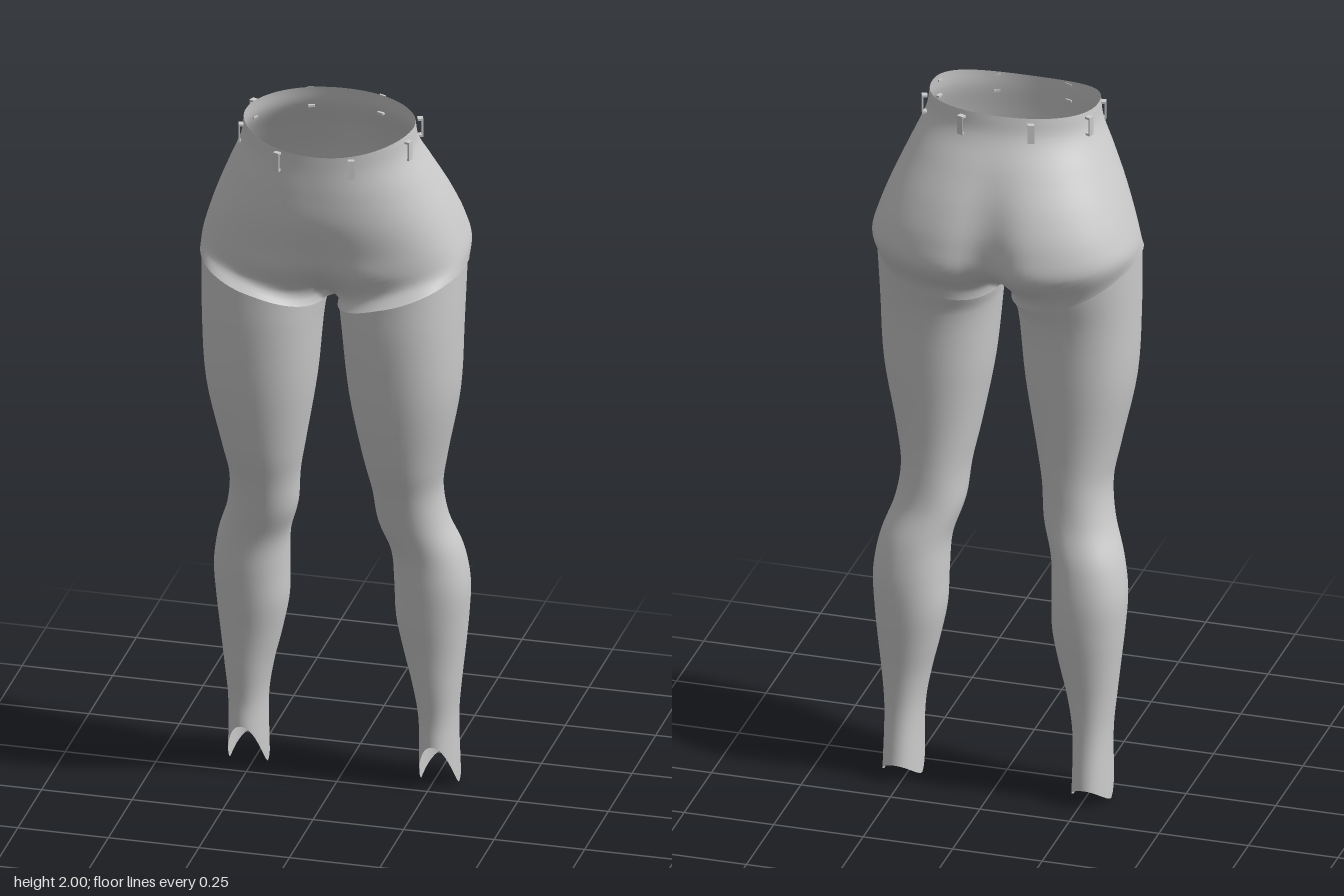
import * as THREE from 'three';

const material = new THREE.MeshStandardMaterial({ color: 0xcccccc, side: THREE.DoubleSide });
const pow = (v, e) => Math.sign(v) * Math.abs(v) ** e;

// Closed skin through rings of points listed from top to bottom, smoothed along each column
function loft(rings, steps) {
  const cols = rings[0].length, rows = (rings.length - 1) * steps + 1;
  const curves = rings[0].map((_, c) => new THREE.CatmullRomCurve3(rings.map(r => r[c]), false, 'centripetal'));
  const pos = [], index = [];
  for (let r = 0; r < rows; r++) {
    for (const curve of curves) pos.push(...curve.getPoint(r / (rows - 1)).toArray());
  }
  for (let r = 0; r < rows - 1; r++) {
    for (let c = 0; c < cols; c++) {
      const a = r * cols + c, b = r * cols + (c + 1) % cols;
      const d = a + cols, e = b + cols;
      index.push(d, e, b, d, b, a);
    }
  }
  const g = new THREE.BufferGeometry();
  g.setAttribute('position', new THREE.Float32BufferAttribute(pos, 3));
  g.setIndex(index);
  g.computeVertexNormals();
  return g;
}

// Slanted leg opening of the shorts: phi runs inner, front, outer, back
function hemPoint(phi, inset = 0) {
  const c = Math.cos(phi), s = Math.sin(phi);
  const x = 0.19 - (0.172 - inset) * pow(c, 0.9);
  const z = 0.02 + ((s > 0 ? 0.2 : 0.19) - inset) * pow(s, 0.9);
  const y = 1.512 - 0.0625 * c - (s < 0 ? 0.03 * s * s : 0);
  return new THREE.Vector3(x, y, z);
}

// Shorts rings: front y, back y, side y, half width, front z, back z, middle z, front dip, back cleft, roundness
const shortsRows = [
  [1.953, 2.0, 1.99, 0.232, 0.25, -0.1, 0.075, 0, 0, 0.95],
  [1.91, 1.945, 1.935, 0.24, 0.251, -0.115, 0.07, 0, 0, 0.95],
  [1.84, 1.86, 1.85, 0.275, 0.254, -0.168, 0.05, 0, 0.005, 0.9],
  [1.75, 1.76, 1.755, 0.315, 0.252, -0.222, 0.02, 0, 0.018, 0.85],
  [1.66, 1.66, 1.67, 0.345, 0.236, -0.253, 0, 0.01, 0.032, 0.8],
  [1.58, 1.575, 1.615, 0.36, 0.222, -0.254, 0, 0.03, 0.055, 0.78],
];

function shortsGeometry() {
  const N = 56;
  const mirrorRing = half => [
    ...half,
    ...half.slice(1, N).reverse().map(p => new THREE.Vector3(-p.x, p.y, p.z)),
  ];
  const rings = shortsRows.map(([yf, yb, ys, w, f, b, mid, dip, cleft, e]) => {
    const half = [];
    for (let i = 0; i <= N; i++) {
      const t = Math.PI * i / N, c = Math.cos(t);
      const x = i === N ? 0 : w * pow(Math.sin(t), e);
      const groove = Math.exp(-((x / 0.07) ** 2));
      const z = mid + pow(c, e) * (c > 0 ? f - mid : mid - b) + groove * (c > 0 ? -dip : cleft);
      const y = ys + ((c > 0 ? yf : yb) - ys) * c * c;
      half.push(new THREE.Vector3(x, y, z));
    }
    return mirrorRing(half);
  });
  // The last ring wraps each half around its own thigh and meets at the crotch
  const hem = [];
  for (let i = 0; i <= N; i++) {
    const p = hemPoint(2 * Math.PI * i / N);
    if (i === 0 || i === N) p.x = 0;
    hem.push(p);
  }
  rings.push(mirrorRing(hem));
  return loft(rings, 6);
}

// Leg rings: y, inner x, outer x, front z, back z
const legRows = [
  [1.4, 0.03, 0.355, 0.215, -0.142],
  [1.2, 0.05, 0.345, 0.195, -0.125],
  [1.0, 0.085, 0.306, 0.15, -0.11],
  [0.9, 0.104, 0.29, 0.115, -0.11],
  [0.8, 0.114, 0.302, 0.085, -0.12],
  [0.7, 0.143, 0.335, 0.057, -0.15],
  [0.6, 0.148, 0.35, 0.047, -0.166],
  [0.5, 0.151, 0.345, 0.035, -0.166],
  [0.4, 0.17, 0.335, 0.02, -0.157],
  [0.3, 0.194, 0.324, 0.01, -0.148],
  [0.2, 0.21, 0.315, 0.0, -0.148],
];

function legGeometry() {
  const N = 48;
  const ring = fn => Array.from({ length: N }, (_, i) => fn(2 * Math.PI * i / N));
  const section = (phi, y, xi, xo, zf, zb) => new THREE.Vector3(
    (xi + xo) / 2 - (xo - xi) / 2 * pow(Math.cos(phi), 0.92), y,
    (zf + zb) / 2 + (zf - zb) / 2 * pow(Math.sin(phi), 0.92));
  const rings = [ring(phi => hemPoint(phi, 0.004))];
  for (const row of legRows) rings.push(ring(phi => section(phi, ...row)));
  // Ankle edge: high at the instep, low at the sides, notched at the heel
  rings.push(ring(phi => {
    const s = Math.sin(phi);
    const y = 0.003 + Math.abs(s) ** 1.3 * (s > 0 ? 0.132 : 0.052);
    return section(phi, y, 0.212, 0.316, 0.004, -0.168);
  }));
  return loft(rings, 5);
}

// Belt loop: an outer strap held off the waistband by two tabs
function beltLoop() {
  const g = new THREE.Group();
  const box = (w, h, d, y, z) => {
    const m = new THREE.Mesh(new THREE.BoxGeometry(w, h, d), material);
    m.position.set(0, y, z);
    m.name = 'beltLoopPiece';
    g.add(m);
  };
  box(0.018, 0.054, 0.004, 0, 0.01);
  box(0.018, 0.006, 0.014, 0.024, 0.004);
  box(0.018, 0.006, 0.014, -0.024, 0.004);
  g.name = 'beltLoop';
  return g;
}

export function createModel() {
  const model = new THREE.Group();
  model.name = 'shortsAndLeggings';
  const add = (geometry, name) => {
    const mesh = new THREE.Mesh(geometry, material);
    mesh.name = name;
    model.add(mesh);
    return mesh;
  };
  add(shortsGeometry(), 'shorts');
  const leg = legGeometry();
  add(leg, 'leftLegging');
  add(leg, 'rightLegging').scale.x = -1;

  // Four belt loops on each side: x, y, z, outward turn
  for (const side of [1, -1]) {
    for (const [x, y, z, turn] of [
      [0.1, 1.925, 0.236, 0.35],
      [0.226, 1.945, 0.125, 1.3],
      [0.226, 1.958, 0.0, 1.95],
      [0.095, 1.962, -0.098, 2.75],
    ]) {
      const loop = beltLoop();
      loop.position.set(side * x, y, z);
      loop.rotation.y = side * turn;
      model.add(loop);
    }
  }
  return model;
}
